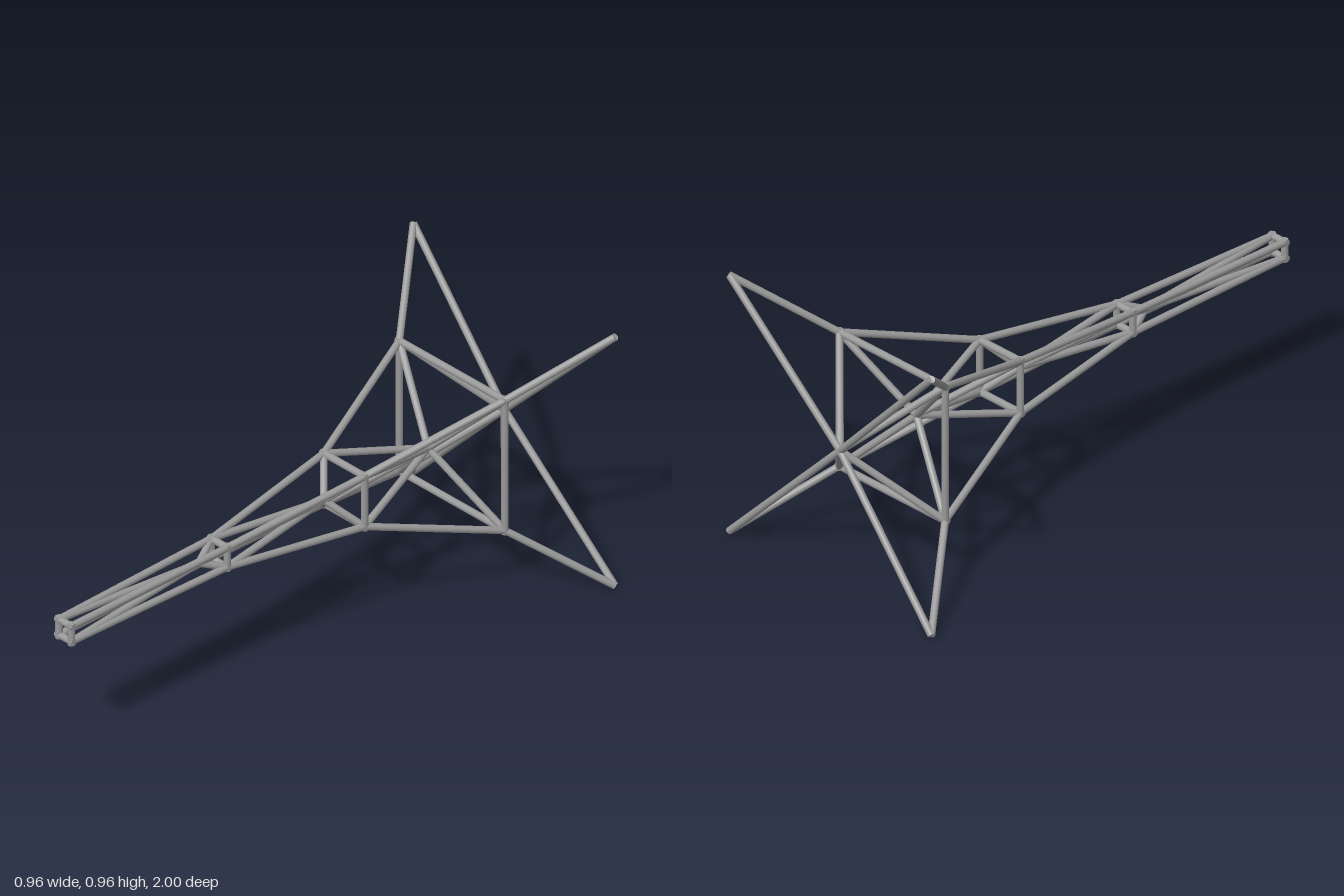
import * as THREE from 'three';

export function createModel() {
  const steel = new THREE.MeshStandardMaterial({ color: 0x999999 });
  steel.name = 'grey steel';
  const model = new THREE.Group();
  model.name = 'flaredTruss';

  const R = 0.0125;      // tube radius
  const AXIS_Y = 0.48;   // height of the central axis

  // Square frames from nose to tail: z position and half width
  const frames = [
    { z: 0.9875, h: 0.029 },
    { z: 0.31, h: 0.037 },
    { z: -0.24, h: 0.095 },
    { z: -0.715, h: 0.246 },
    { z: -0.988, h: 0.47 }, // open tips, no frame bars
  ];
  // Axis nodes, one in each bay between two frames
  const nodes = [0.4, -0.15, -0.608, -0.945];
  const signs = [[1, 1], [-1, 1], [-1, -1], [1, -1]];

  const corner = (f, i) => new THREE.Vector3(signs[i % 4][0] * f.h, AXIS_Y + signs[i % 4][1] * f.h, f.z);

  // Round bar between two points, optionally lengthened at both ends
  function bar(name, a, b, extra = 0) {
    const dir = b.clone().sub(a);
    const geo = new THREE.CylinderGeometry(R, R, dir.length() + extra * 2, 12);
    const mesh = new THREE.Mesh(geo, steel);
    mesh.name = name;
    mesh.position.copy(a).add(b).multiplyScalar(0.5);
    mesh.quaternion.setFromUnitVectors(new THREE.Vector3(0, 1, 0), dir.normalize());
    return mesh;
  }

  // Square frames, bars lapping at the corners
  frames.slice(0, 4).forEach((f, n) => {
    const frame = new THREE.Group();
    frame.name = 'squareFrame' + (n + 1);
    for (let i = 0; i < 4; i++) frame.add(bar('frameBar', corner(f, i), corner(f, i + 1), R * 0.9));
    model.add(frame);
  });

  // Each bay: four corner rails, and braces from the axis node to both frames
  nodes.forEach((z, n) => {
    const bay = new THREE.Group();
    bay.name = 'bay' + (n + 1);
    const node = new THREE.Vector3(0, AXIS_Y, z);
    for (let i = 0; i < 4; i++) {
      const front = corner(frames[n], i);
      const back = corner(frames[n + 1], i);
      bay.add(bar('cornerRail', front, back));
      bay.add(bar('frontBrace', node, front));
      bay.add(bar('backBrace', node, back));
    }
    model.add(bay);
  });

  return model;
}
